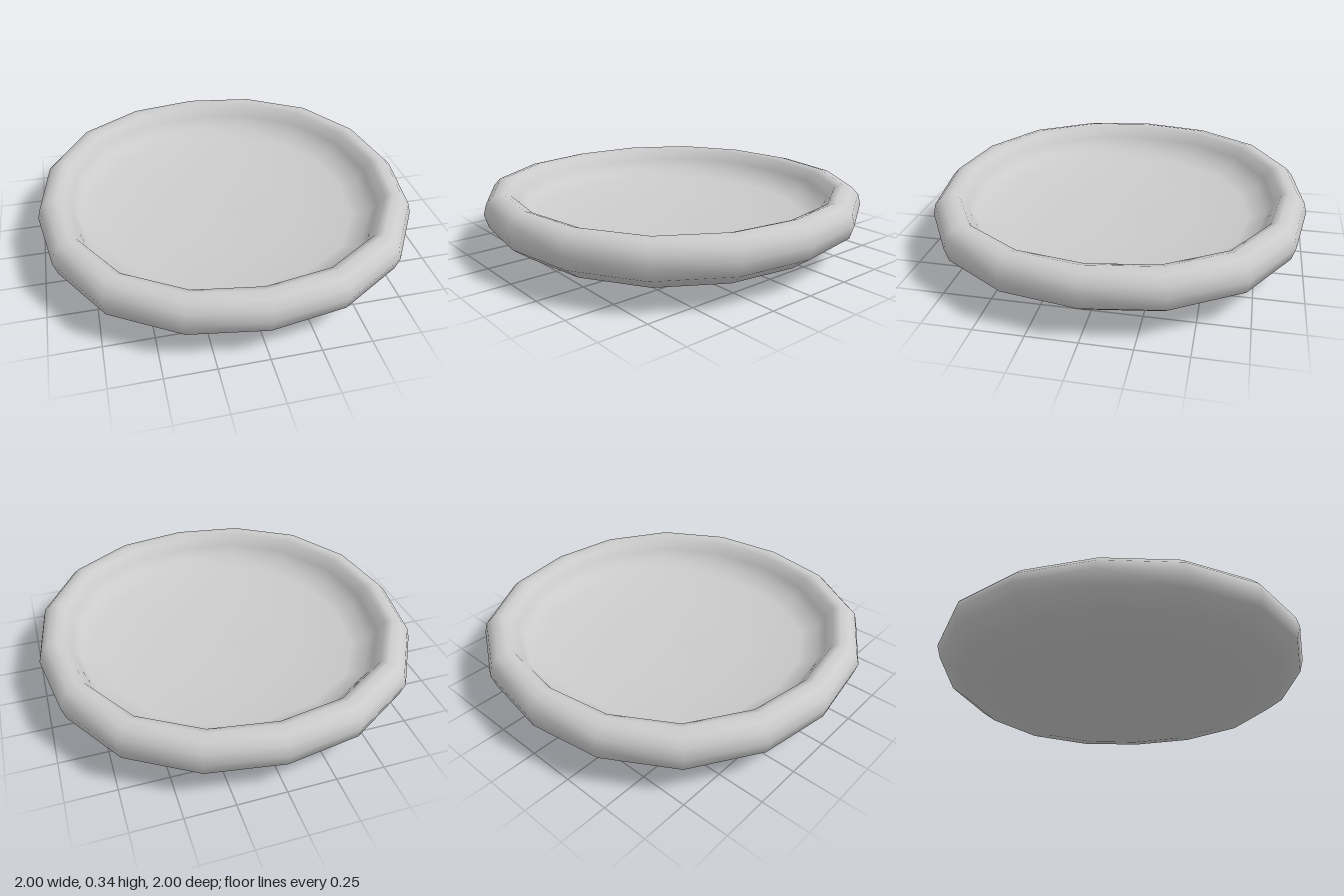
import * as THREE from 'three';

// Section of the dish as [radius, height]: underside, rounded rim, inner wall, floor
const PROFILE = [
  [0, 0], [0.38, 0.015], [0.7, 0.05], [0.885, 0.1], [0.98, 0.17],
  [1, 0.24], [0.985, 0.295], [0.95, 0.332], [0.9, 0.345], [0.86, 0.33],
  [0.825, 0.275], [0.79, 0.22], [0.7, 0.18], [0.38, 0.15], [0, 0.14],
];

export function createModel() {
  const group = new THREE.Group();
  const points = PROFILE.map(([r, y]) => new THREE.Vector2(r, y));
  const geometry = new THREE.LatheGeometry(points, 16);

  // Swell the diagonals a little so the round outline is slightly squared
  const pos = geometry.attributes.position;
  for (let i = 0; i < pos.count; i++) {
    const x = pos.getX(i), z = pos.getZ(i);
    const swell = 1 + 0.03 * Math.sin(2 * Math.atan2(z, x)) ** 2;
    pos.setX(i, x * swell);
    pos.setZ(i, z * swell);
  }

  const dish = new THREE.Mesh(geometry, new THREE.MeshStandardMaterial({ color: 0xcccccc }));
  dish.name = 'dish';
  group.add(dish);
  return group;
}
